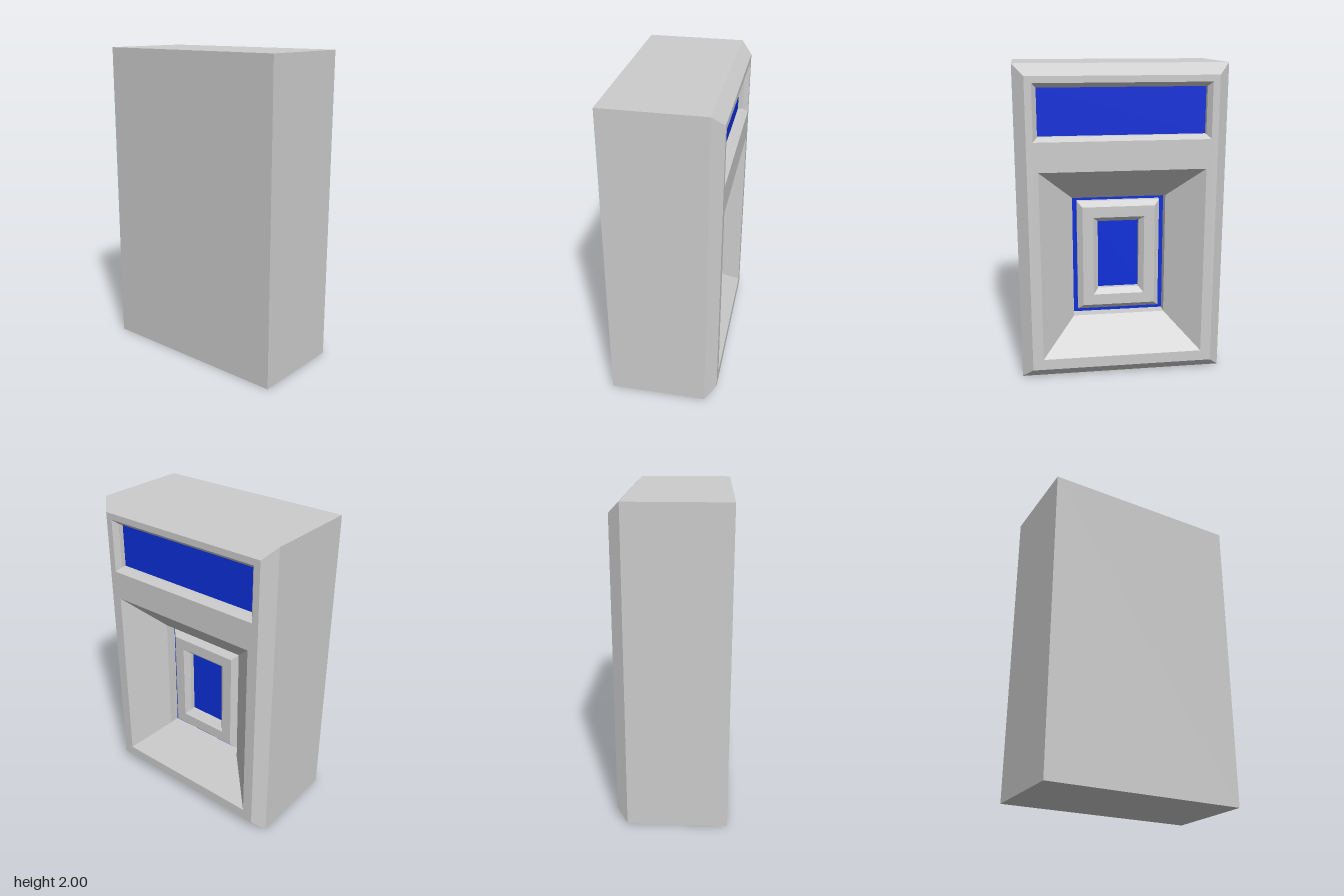
import * as THREE from 'three';

const grey = new THREE.MeshStandardMaterial({ color: 0xcccccc });
grey.name = 'casing grey';
const blue = new THREE.MeshStandardMaterial({ color: 0x0d2fda });
blue.name = 'panel blue';

// A ring is a rectangle across the cabinet: [x, half width in z, bottom y, top y]
const corners = ([x, w, y0, y1]) => [[x, y0, w], [x, y0, -w], [x, y1, -w], [x, y1, w]];

// Four-sided walls joining successive rings; faces outward when x rises, inward when x falls
function walls(name, rings) {
  const pos = [];
  for (let r = 0; r < rings.length - 1; r++) {
    const a = corners(rings[r]), b = corners(rings[r + 1]);
    for (let i = 0; i < 4; i++) {
      const j = (i + 1) % 4;
      pos.push(...a[i], ...a[j], ...b[j], ...a[i], ...b[j], ...b[i]);
    }
  }
  const g = new THREE.BufferGeometry();
  g.setAttribute('position', new THREE.Float32BufferAttribute(pos, 3));
  g.computeVertexNormals();
  const mesh = new THREE.Mesh(g, grey);
  mesh.name = name;
  return mesh;
}

const outline = (path, [, w, y0, y1]) =>
  path.moveTo(-w, y0).lineTo(w, y0).lineTo(w, y1).lineTo(-w, y1).closePath();

// Flat face filling a ring, with optional rectangular openings; side 1 faces +x, -1 faces -x
function face(name, ring, material, holes = [], side = 1) {
  const shape = outline(new THREE.Shape(), ring);
  for (const h of holes) shape.holes.push(outline(new THREE.Path(), h));
  const g = new THREE.ShapeGeometry(shape);
  g.rotateY(side * Math.PI / 2).translate(ring[0], 0, 0);
  const mesh = new THREE.Mesh(g, material);
  mesh.name = name;
  return mesh;
}

export function createModel() {
  const model = new THREE.Group();
  model.name = 'cabinet';

  // Casing with a chamfered display side
  const back = [-0.347, 0.652, 0, 2];
  const front = [0.345, 0.583, 0.07, 1.93];
  const casing = [back, [0.275, 0.652, 0, 2], front];

  // Recesses, from opening to floor
  const sign = [
    [0.345, 0.541, 1.545, 1.89], [0.313, 0.515, 1.572, 1.862], [0.28, 0.515, 1.572, 1.862]];
  const funnel = [
    [0.345, 0.515, 0.14, 1.362], [0.145, 0.302, 0.35, 1.155], [0.073, 0.302, 0.35, 1.155]];

  // Raised frame on the funnel floor and the window through it
  const frame = [
    [0.073, 0.27, 0.382, 1.122], [0.103, 0.27, 0.382, 1.122], [0.136, 0.236, 0.416, 1.087]];
  const opening = [
    [0.136, 0.167, 0.488, 1.016], [0.104, 0.135, 0.523, 0.985], [0.073, 0.135, 0.523, 0.985]];

  model.add(
    walls('casingSides', casing),
    face('casingBack', back, grey, [], -1),
    face('casingFront', front, grey, [sign[0], funnel[0]]),
    walls('signRecess', sign),
    face('signPanel', sign[2], blue),
    walls('funnelRecess', funnel),
    face('innerPanel', funnel[2], blue),
    walls('windowFrameSides', frame),
    face('windowFrameFront', frame[2], grey, [opening[0]]),
    walls('windowOpening', opening),
  );
  return model;
}
